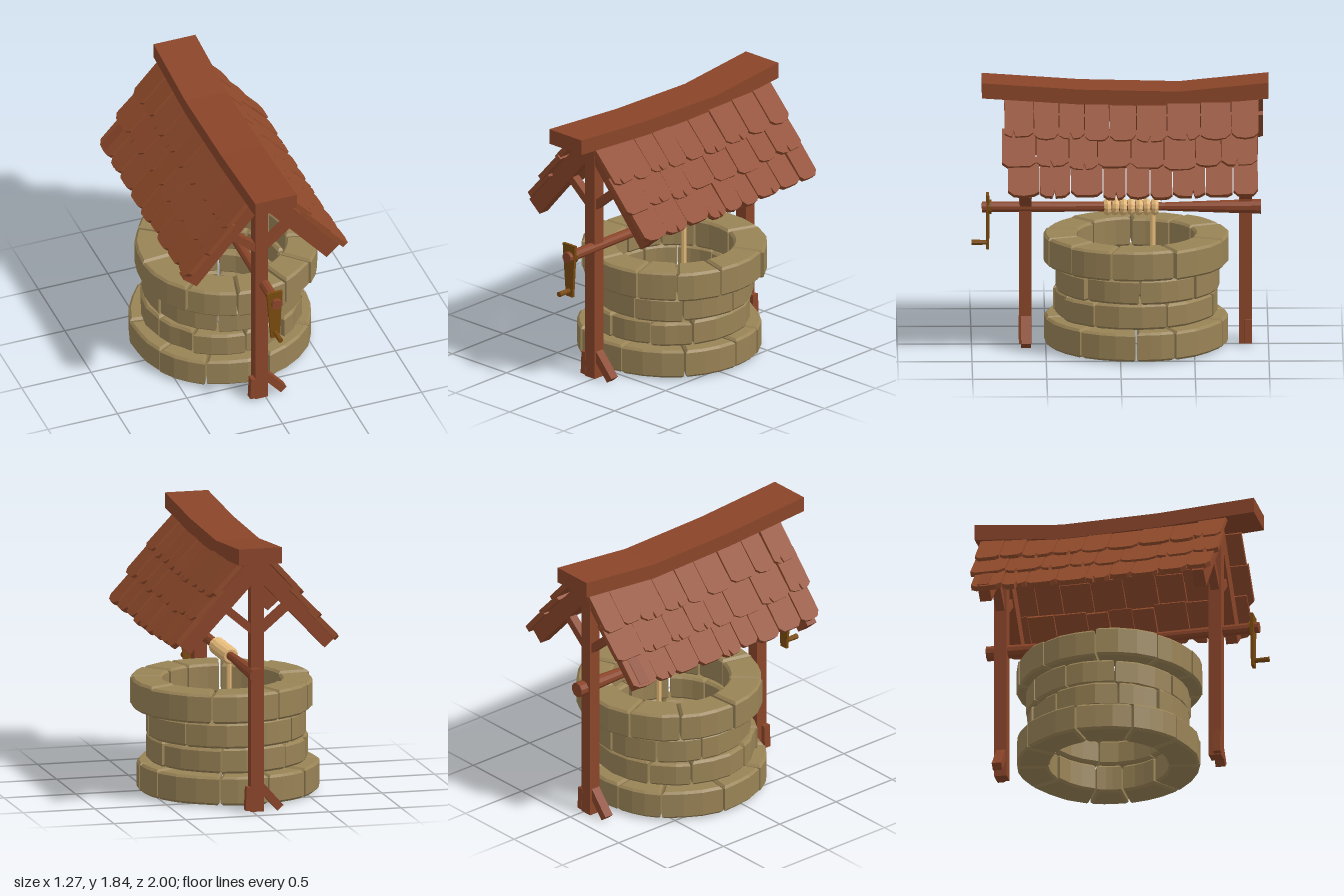
import * as THREE from 'three';

const mat = (color) => new THREE.MeshStandardMaterial({ color, flatShading: true, side: THREE.DoubleSide });
const wood = mat(0x8a4529), shingleWood = mat(0x904a2b), stoneMat = mat(0x998356), ropeMat = mat(0xe3b878), brass = mat(0x7a4a10);

let seed = 7;
const rnd = () => ((seed = (seed * 16807) % 2147483647) / 2147483647);
const jit = (a) => (rnd() * 2 - 1) * a;

function add(parent, name, geo, material, x = 0, y = 0, z = 0) {
  const m = new THREE.Mesh(geo, material);
  m.name = name;
  m.position.set(x, y, z);
  parent.add(m);
  return m;
}

// Square timber between two points of an upright plane
function bar(parent, name, [x0, y0], [x1, y1], z, width, depth) {
  const dx = x1 - x0, dy = y1 - y0;
  const m = add(parent, name, new THREE.BoxGeometry(width, Math.hypot(dx, dy), depth), wood, (x0 + x1) / 2, (y0 + y1) / 2, z);
  m.rotation.z = Math.atan2(-dx, dy);
  return m;
}

// Uneven division of a span into n pieces
function split(from, to, n, vary) {
  const w = Array.from({ length: n }, () => 1 + jit(vary));
  const sum = w.reduce((a, b) => a + b);
  const cuts = [from];
  w.forEach((v) => cuts.push(cuts[cuts.length - 1] + (v / sum) * (to - from)));
  return cuts;
}

// One bevelled block of a stone ring
function stoneGeometry(a0, a1, ri, ro, height) {
  const bevel = 0.016, gap = 0.006 + bevel, n = 3;
  const pts = [];
  const put = (r, a) => pts.push(new THREE.Vector2(Math.cos(a) * r, Math.sin(a) * r));
  for (let i = 0; i <= n; i++) {
    const g = gap / ro;
    put(ro - bevel + jit(0.006), a0 + g + ((a1 - a0 - 2 * g) * i) / n);
  }
  for (let i = n; i >= 0; i--) {
    const g = gap / ri;
    put(ri + bevel, a0 + g + ((a1 - a0 - 2 * g) * i) / n);
  }
  const geo = new THREE.ExtrudeGeometry(new THREE.Shape(pts), {
    depth: height - 2 * bevel, bevelThickness: bevel, bevelSize: bevel, bevelSegments: 1,
  });
  return geo.translate(0, 0, bevel).rotateX(-Math.PI / 2);
}

function buildWell() {
  const well = new THREE.Group();
  well.name = 'stoneWell';
  // bottom, height, outer radius, centre x, centre z, stones
  const rings = [
    [0.01, 0.195, 0.615, -0.035, -0.105, 10],
    [0.215, 0.17, 0.545, -0.035, -0.1, 9],
    [0.39, 0.175, 0.545, -0.01, -0.115, 9],
    [0.575, 0.2, 0.618, 0.01, -0.11, 10],
  ];
  rings.forEach(([y, h, ro, x, z, n], k) => {
    const cuts = split(k * 0.4, k * 0.4 + Math.PI * 2, n, 0.3);
    for (let i = 0; i < n; i++) {
      add(well, 'stone', stoneGeometry(cuts[i], cuts[i + 1], 0.4 + jit(0.008), ro + jit(0.01), h + jit(0.006)), stoneMat, x, y, z);
    }
  });
  return well;
}

// Post with rafters, knee braces and foot braces
function buildFrame(name, z, dir, lift) {
  const frame = new THREE.Group();
  frame.name = name;
  const cx = -0.03;
  add(frame, 'post', new THREE.BoxGeometry(0.09, 1.7, 0.085), wood, cx, 0.85, z);
  for (const s of [-1, 1]) {
    bar(frame, 'rafter', [cx + s * 0.515, 1.097 + lift], [cx + s * 0.005, 1.69], z, 0.125, 0.08);
    bar(frame, 'kneeBrace', [cx + s * 0.02, 1.24], [cx + s * 0.21, 1.4], z, 0.055, 0.06);
  }
  bar(frame, 'footBrace', [cx + dir * 0.02, 0.18], [cx + dir * 0.165, 0.015], z - dir * 0.005, 0.055, 0.065);
  bar(frame, 'footBlock', [cx - dir * 0.063, 0.01], [cx - dir * 0.055, 0.17], z + dir * 0.02, 0.04, 0.05);
  return frame;
}

// Wooden shingle with a rounded, sometimes split, lower edge
function shingleGeometry(w, len) {
  const h = w / 2 - 0.003, notch = rnd() < 0.3;
  const pts = [[-h, len], [-h, 0.03 + jit(0.01)], [-h * 0.65, 0.004]];
  if (notch) {
    const p = jit(h * 0.4);
    pts.push([p - 0.012, 0], [p + jit(0.01), 0.05], [p + 0.012, 0]);
  } else pts.push([0, jit(0.006)]);
  pts.push([h * 0.65, 0.006], [h, 0.035 + jit(0.01)], [h, len]);
  const shape = new THREE.Shape(pts.map(([x, y]) => new THREE.Vector2(x, y)));
  return new THREE.ExtrudeGeometry(shape, { depth: 0.036, bevelEnabled: false });
}

function buildRoof() {
  const roof = new THREE.Group();
  roof.name = 'roof';
  const sag = (z) => 0.03 * ((z + 0.1) / 0.9) ** 2 - 0.015;
  const slope = 0.91, pitch = 0.21, len = 0.295;
  for (const s of [-1, 1]) {
    const [front, back] = s > 0 ? [0.78, -0.94] : [0.74, -0.955];
    for (let row = 0; row < 3; row++) {
      const n = 9 - (row % 2);
      const cuts = split(front + jit(0.02), back + jit(0.02), n, 0.2);
      const along = 0.31 + row * pitch;
      for (let i = 0; i < n; i++) {
        const z = (cuts[i] + cuts[i + 1]) / 2, t = slope - 0.09 + jit(0.025), d = along + jit(0.012);
        const up = new THREE.Vector3(-s * Math.cos(t), Math.sin(t), 0);
        const out = new THREE.Vector3(s * Math.sin(t), Math.cos(t), 0);
        const m = add(roof, 'shingle', shingleGeometry(cuts[i] - cuts[i + 1], len), shingleWood);
        m.quaternion.setFromRotationMatrix(new THREE.Matrix4().makeBasis(up.clone().cross(out), up, out));
        m.position.set(
          -0.012 + s * (0.087 + d * Math.cos(slope) + 0.03 * Math.sin(slope)),
          1.703 - d * Math.sin(slope) + 0.03 * Math.cos(slope) + sag(z), z);
      }
    }
  }
  // Sagging ridge beam, drawn from its side outline
  const outline = [[-0.93, 1.73], [-0.27, 1.687], [0.4, 1.67], [1, 1.725], [1, 1.835], [0.4, 1.775], [-0.27, 1.79], [-0.93, 1.835]];
  const ridge = new THREE.ExtrudeGeometry(new THREE.Shape(outline.map(([x, y]) => new THREE.Vector2(x, y))), { depth: 0.3, bevelEnabled: false });
  add(roof, 'ridgeBeam', ridge.translate(0, 0, -0.15).rotateY(Math.PI / 2), wood, -0.02);
  return roof;
}

function buildWindlass() {
  const g = new THREE.Group();
  g.name = 'windlass';
  g.position.set(-0.01, 0.945, 0);
  // Axle turned with a slight waist
  const axle = [[0, -0.95], [0.052, -0.95], [0.045, -0.75], [0.029, -0.3], [0.034, 0.1], [0.038, 0.93], [0, 0.93]];
  add(g, 'axle', new THREE.LatheGeometry(axle.map(([r, y]) => new THREE.Vector2(r, y)), 10).rotateX(Math.PI / 2), wood);
  // Rope wraps and hanging end
  for (let i = 0; i < 7; i++) {
    const wrap = add(g, 'ropeWrap', new THREE.TorusGeometry(0.034, 0.027, 6, 12), ropeMat, 0, jit(0.003), 0.085 - i * 0.053);
    wrap.rotation.y = 0.08;
    wrap.rotation.x = jit(0.08);
  }
  add(g, 'hangingRope', new THREE.CylinderGeometry(0.018, 0.018, 0.36, 8), ropeMat, 0, -0.2, -0.22);
  // Tapered crank arm, hub and handle
  const arm = new THREE.Shape([[-0.065, 0.085], [-0.035, -0.29], [0.025, -0.29], [0.048, 0.085]].map(([x, y]) => new THREE.Vector2(x, y)));
  add(g, 'crankArm', new THREE.ExtrudeGeometry(arm, { depth: 0.02, bevelEnabled: false }), brass, 0, 0, 0.88);
  add(g, 'crankHub', new THREE.CylinderGeometry(0.05, 0.05, 0.02, 10).rotateX(Math.PI / 2), brass, 0.003, 0, 0.875);
  add(g, 'crankHandle', new THREE.CylinderGeometry(0.019, 0.016, 0.12, 8).rotateX(Math.PI / 2), brass, -0.005, -0.247, 0.94);
  return g;
}

export function createModel() {
  const model = new THREE.Group();
  model.name = 'wishingWell';
  model.add(
    buildWell(),
    buildFrame('frontFrame', 0.638, 1, 0),
    buildFrame('backFrame', -0.845, -1, 0.05),
    buildRoof(),
    buildWindlass(),
  );
  return model;
}
